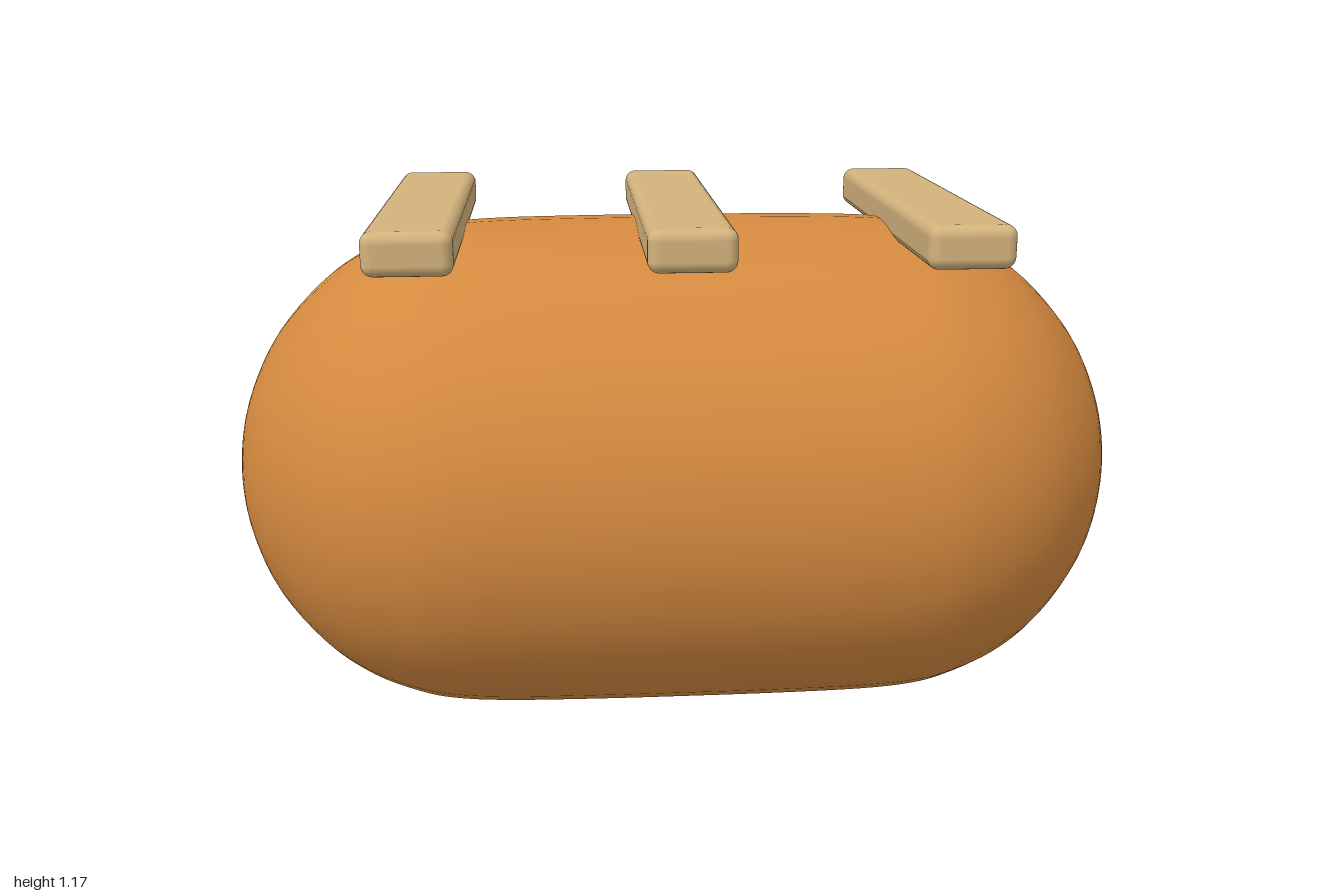
import * as THREE from 'three';
import { RoundedBoxGeometry } from 'three/addons/geometries/RoundedBoxGeometry.js';

export function createModel() {
  const group = new THREE.Group();
  const crust = new THREE.MeshStandardMaterial({ color: 0xd4893f });
  crust.name = 'toasted orange';
  const pale = new THREE.MeshStandardMaterial({ color: 0xd2b27c });
  pale.name = 'pale tan';

  // Half profile of the body: [distance along the axis, relative radius]
  const half = [
    [0.2, 0.999], [0.4, 0.993], [0.52, 0.977], [0.6, 0.945], [0.7, 0.875],
    [0.8, 0.755], [0.9, 0.56], [0.96, 0.36], [0.99, 0.18], [1, 0],
  ];
  const points = [
    ...half.map(([x, r]) => new THREE.Vector2(r, -x)).reverse(),
    new THREE.Vector2(1, 0),
    ...half.map(([x, r]) => new THREE.Vector2(r, x)),
  ];
  const profile = new THREE.SplineCurve(points).getPoints(80);
  profile.forEach((p) => { p.x = Math.max(p.x, 0); });

  // Rounded loaf body, lying along x and slightly wider than tall
  const bodyGeometry = new THREE.LatheGeometry(profile, 48);
  bodyGeometry.rotateZ(-Math.PI / 2);
  bodyGeometry.scale(1, 0.56, 0.62);
  const body = new THREE.Mesh(bodyGeometry, crust);
  body.name = 'body';
  body.position.y = 0.565;
  group.add(body);

  // Three flat strips resting across the top
  const stripGeometry = new RoundedBoxGeometry(0.182, 0.09, 1, 4, 0.024);
  ['rightStrip', 'middleStrip', 'leftStrip'].forEach((name, i) => {
    const strip = new THREE.Mesh(stripGeometry, pale);
    strip.name = name;
    strip.position.set((i - 1) * 0.563, 1.129, 0);
    group.add(strip);
  });

  return group;
}
